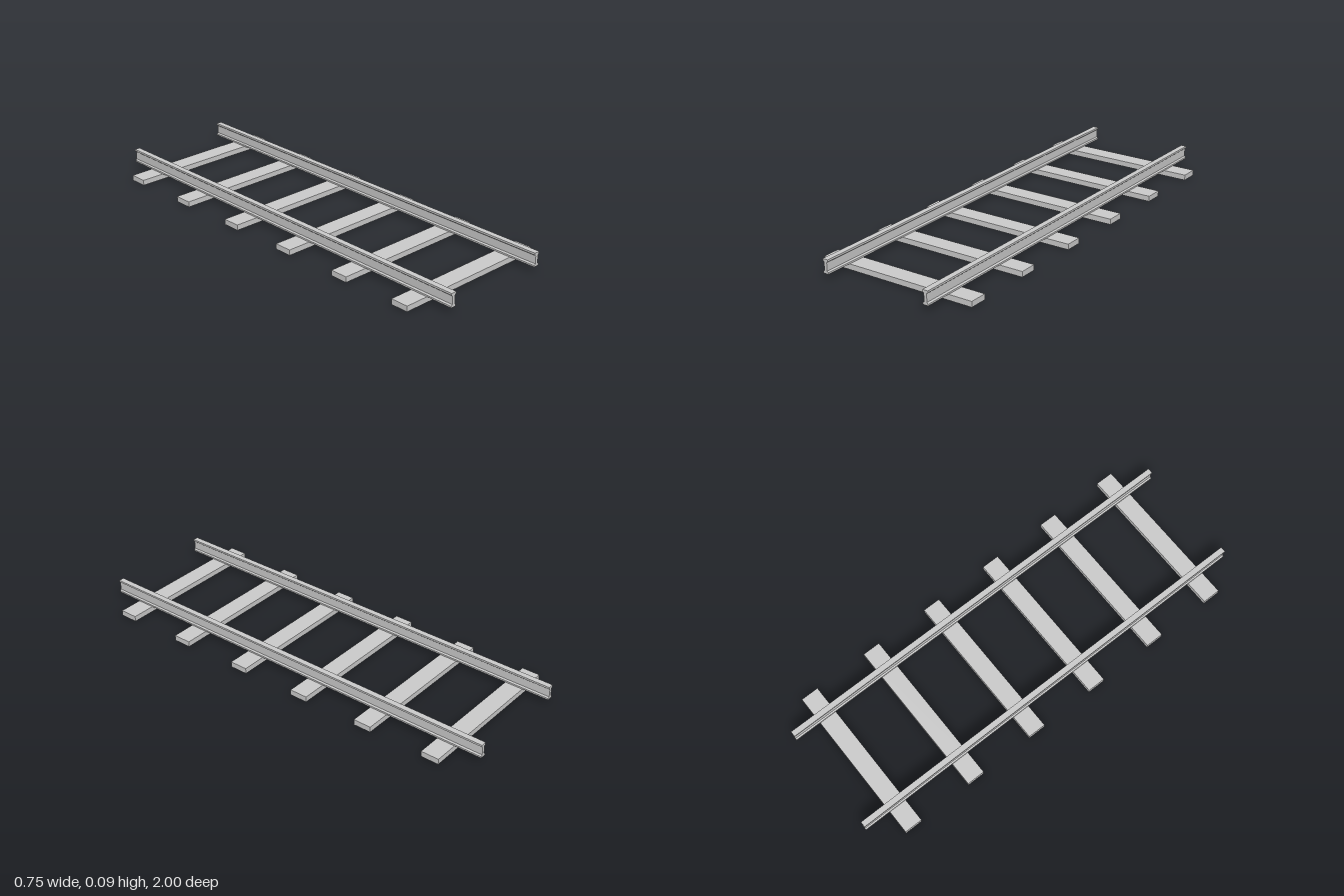
import * as THREE from 'three';

const LENGTH = 2;
const SLEEPER = { width: 0.746, height: 0.025, depth: 0.083, count: 6 };
const GAUGE = 0.5;

// Right half of the rail section from foot to head: [x, y]
const HALF_SECTION = [
  [0.013, 0], [0.013, 0.007], [0.007, 0.013],
  [0.007, 0.049], [0.013, 0.054], [0.013, 0.0625],
];

function railGeometry() {
  const mirrored = HALF_SECTION.map(([x, y]) => [-x, y]).reverse();
  const points = [...HALF_SECTION, ...mirrored].map(([x, y]) => new THREE.Vector2(x, y));
  const geometry = new THREE.ExtrudeGeometry(new THREE.Shape(points), {
    depth: LENGTH, bevelEnabled: false,
  });
  return geometry.translate(0, 0, -LENGTH / 2);
}

export function createModel() {
  const model = new THREE.Group();
  model.name = 'railTrack';
  const material = new THREE.MeshStandardMaterial({ color: 0xcccccc, flatShading: true });

  // Evenly spaced sleepers lying on the ground
  const sleeperShape = new THREE.BoxGeometry(SLEEPER.width, SLEEPER.height, SLEEPER.depth);
  const spacing = LENGTH / SLEEPER.count;
  for (let i = 0; i < SLEEPER.count; i++) {
    const sleeper = new THREE.Mesh(sleeperShape, material);
    sleeper.name = `sleeper${i + 1}`;
    sleeper.position.set(0, SLEEPER.height / 2, (i + 0.5) * spacing - LENGTH / 2);
    model.add(sleeper);
  }

  // Pair of rails resting on the sleepers
  const railShape = railGeometry();
  for (const [name, side] of [['leftRail', 1], ['rightRail', -1]]) {
    const rail = new THREE.Mesh(railShape, material);
    rail.name = name;
    rail.position.set(side * GAUGE / 2, SLEEPER.height, 0);
    model.add(rail);
  }
  return model;
}
